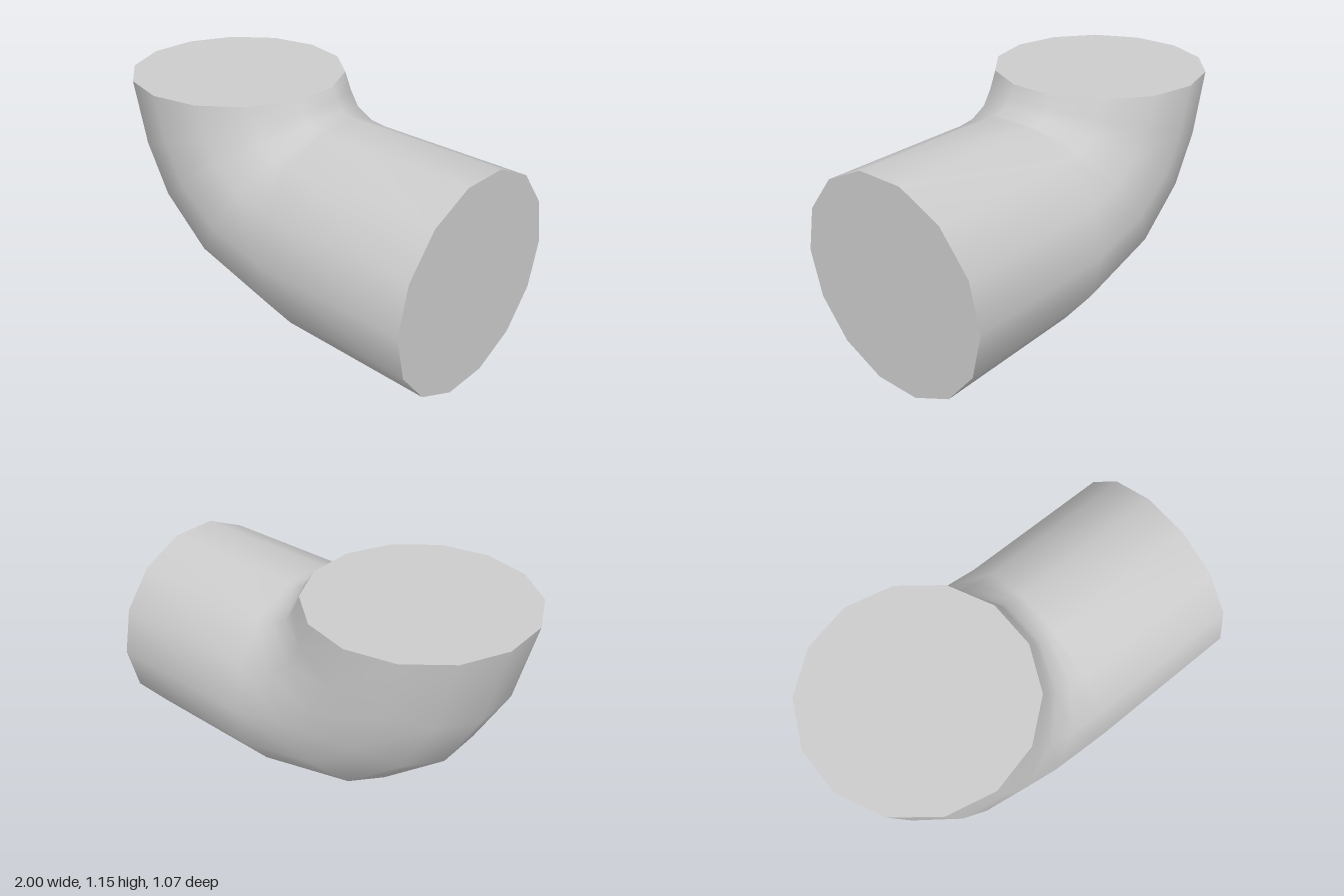
import * as THREE from 'three';

const SIDES = 14;
const RADIUS = 0.535;
const PEAK = Math.cos(Math.PI / SIDES); // flat sides face up and down

// Bend rings, each as [outer x, outer y, inner x, inner y]
const RINGS = [
  [-1, 1.152, 0.043, 1.152],
  [-0.905, 0.758, 0.077, 1.098],
  [-0.737, 0.448, 0.112, 1.052],
  [-0.403, 0.162, 0.171, 1.031],
  [0.2, 0, 0.2, 1.036],
  [1, 0, 1, 1.036],
];

// One cross-section, spanning from the outer to the inner side of the bend
function ringPoints([ox, oy, ix, iy]) {
  const points = [];
  for (let k = 0; k < SIDES; k++) {
    const a = (k / SIDES) * Math.PI * 2;
    const t = 0.5 + (0.5 * Math.sin(a)) / PEAK;
    points.push(ox + (ix - ox) * t, oy + (iy - oy) * t, RADIUS * Math.cos(a));
  }
  return points;
}

function makeMesh(name, positions, index, material) {
  const geometry = new THREE.BufferGeometry();
  geometry.setAttribute('position', new THREE.Float32BufferAttribute(positions, 3));
  geometry.setIndex(index);
  geometry.computeVertexNormals();
  const mesh = new THREE.Mesh(geometry, material);
  mesh.name = name;
  return mesh;
}

// Flat end face as a fan
function makeCap(name, ring, flip, material) {
  const index = [];
  for (let k = 1; k < SIDES - 1; k++) index.push(0, flip ? k + 1 : k, flip ? k : k + 1);
  return makeMesh(name, ringPoints(ring), index, material);
}

export function createModel() {
  const group = new THREE.Group();
  group.name = 'pipeElbow';
  const material = new THREE.MeshStandardMaterial({ color: 0xcccccc });

  // Smooth pipe wall lofted through the rings
  const index = [];
  for (let i = 0; i < RINGS.length - 1; i++) {
    for (let k = 0; k < SIDES; k++) {
      const a = i * SIDES + k;
      const b = i * SIDES + ((k + 1) % SIDES);
      const c = a + SIDES;
      const d = b + SIDES;
      index.push(a, c, b, b, c, d);
    }
  }
  group.add(makeMesh('pipeWall', RINGS.flatMap(ringPoints), index, material));

  // Closed ends
  group.add(makeCap('topCap', RINGS[0], false, material));
  group.add(makeCap('sideCap', RINGS[RINGS.length - 1], true, material));
  return group;
}
